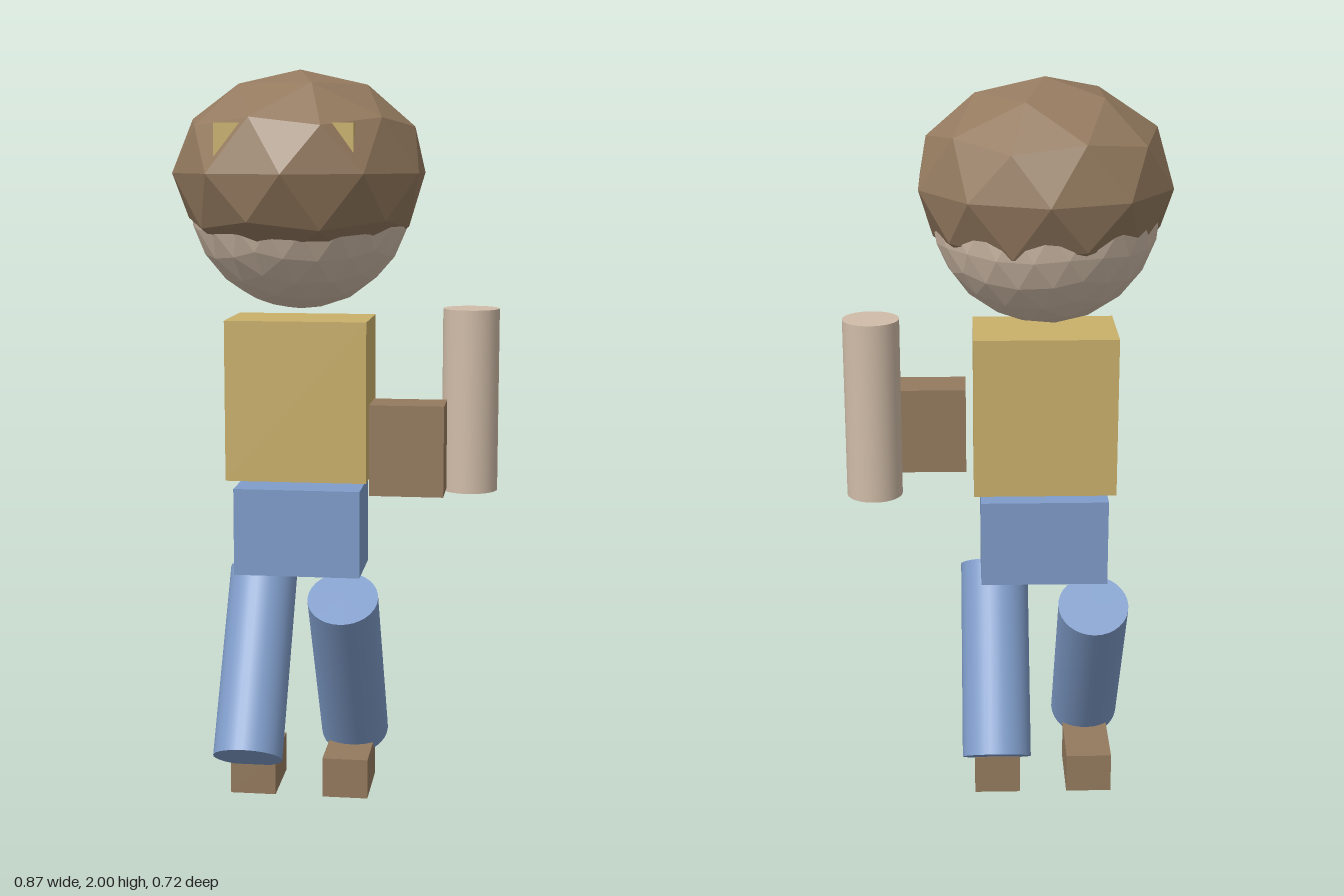
import * as THREE from 'three';

export function createModel() {
  const material = (name, color) => {
    const m = new THREE.MeshStandardMaterial({ color });
    m.name = name;
    return m;
  };
  const skin = material('skin', 0xd0bca8);
  const brown = material('brown', 0x947a5f);
  const yellow = material('yellow', 0xc9b06a);
  const blue = material('blue', 0x7f9cc9);

  // The whole figure is turned slightly about its own axis
  const figure = new THREE.Group();
  figure.name = 'figure';
  figure.position.set(-0.105, 0, -0.02);
  figure.rotation.y = -0.05;

  const add = (name, geometry, mat, x, y, z) => {
    const mesh = new THREE.Mesh(geometry, mat);
    mesh.name = name;
    mesh.position.set(x, y, z);
    figure.add(mesh);
    return mesh;
  };
  const box = (name, mat, w, h, d, x, y, z) =>
    add(name, new THREE.BoxGeometry(w, h, d), mat, x, y, z);

  // Faceted ball with one corner at the top and its neighbour towards +x
  const facetedBall = (detail, rx, ry, rz) => {
    const g = new THREE.IcosahedronGeometry(1, detail);
    g.rotateZ(Math.atan(2 / (1 + Math.sqrt(5))));
    g.rotateY(Math.PI);
    g.scale(rx, ry, rz);
    g.computeVertexNormals();
    return g;
  };

  // Head, with the hair as a wider, flatter ball over it
  add('head', facetedBall(3, 0.3, 0.3, 0.3), skin, 0, 1.665, 0);
  add('hair', facetedBall(1, 0.343, 0.27, 0.36), brown, 0.003, 1.73, 0.02);

  // Body
  box('torso', yellow, 0.383, 0.435, 0.24, 0, 1.1225, 0);
  box('hips', blue, 0.346, 0.24, 0.215, 0, 0.76, 0);

  // Single arm and the block beside it
  add('arm', new THREE.CylinderGeometry(0.076, 0.076, 0.495, 32), skin, 0.463, 1.1225, -0.003);
  box('forearm', brown, 0.195, 0.24, 0.128, 0.309, 1.015, 0.165);

  // Crossed striding legs, shoes, and blocks whose corners break through the hair
  for (const [side, s] of [['left', 1], ['right', -1]]) {
    const leg = add(side + 'Leg', new THREE.CylinderGeometry(0.096, 0.096, 0.55, 32),
      blue, s * 0.1325, 0.362, 0);
    leg.rotation.x = s * THREE.MathUtils.degToRad(32.5);
    box(side + 'Shoe', brown, 0.127, 0.112, 0.2, s * 0.13, 0.056, -0.022);
    box(side + 'Eye', yellow, 0.08, 0.1, 0.1, s * 0.138, 1.807, 0.252);
  }

  const model = new THREE.Group();
  model.name = 'model';
  model.add(figure);
  return model;
}
